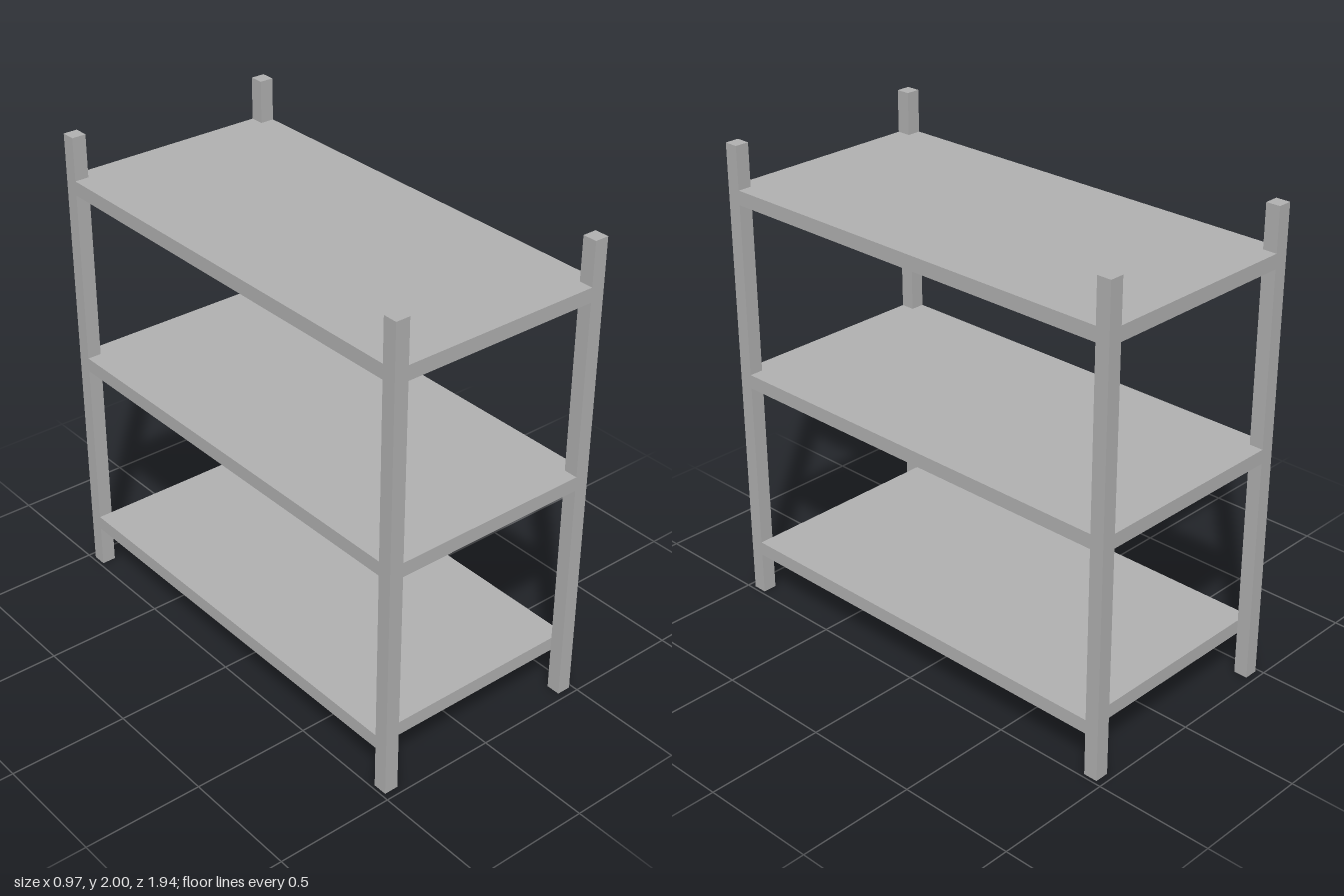
import * as THREE from 'three';

const HALF_X = 0.485, HALF_Z = 0.97, POST = 0.06;

// Board outline with its corners cut out around the posts
function notchedBoard(thickness) {
  const ix = HALF_X - POST, iz = HALF_Z - POST;
  const outline = [
    [ix, -HALF_Z], [ix, -iz], [HALF_X, -iz], [HALF_X, iz], [ix, iz], [ix, HALF_Z],
    [-ix, HALF_Z], [-ix, iz], [-HALF_X, iz], [-HALF_X, -iz], [-ix, -iz], [-ix, -HALF_Z],
  ];
  const shape = new THREE.Shape(outline.map(([x, y]) => new THREE.Vector2(x, y)));
  const geometry = new THREE.ExtrudeGeometry(shape, { depth: thickness, bevelEnabled: false });
  return geometry.rotateX(-Math.PI / 2).translate(0, -thickness / 2, 0);
}

export function createModel() {
  const group = new THREE.Group();
  group.name = 'shelvingRack';
  const grey = new THREE.MeshStandardMaterial({ color: 0xb2b2b2 });
  grey.name = 'grey';

  const add = (name, geometry, x, y, z) => {
    const mesh = new THREE.Mesh(geometry, grey);
    mesh.name = name;
    mesh.position.set(x, y, z);
    group.add(mesh);
  };

  // Four corner posts
  const post = new THREE.BoxGeometry(POST, 2, POST);
  for (const sx of [-1, 1]) {
    for (const sz of [-1, 1]) {
      const name = (sz > 0 ? 'front' : 'back') + (sx > 0 ? 'Left' : 'Right') + 'Post';
      add(name, post, sx * (HALF_X - POST / 2), 1, sz * (HALF_Z - POST / 2));
    }
  }

  // Upper shelves wrap around the posts, the lowest one fits between the end pairs
  const board = notchedBoard(POST);
  add('topShelf', board, 0, 1.79, 0);
  add('middleShelf', board, 0, 1.0, 0);
  add('bottomShelf', new THREE.BoxGeometry(HALF_X * 2, POST, (HALF_Z - POST) * 2), 0, 0.214, 0);

  return group;
}
